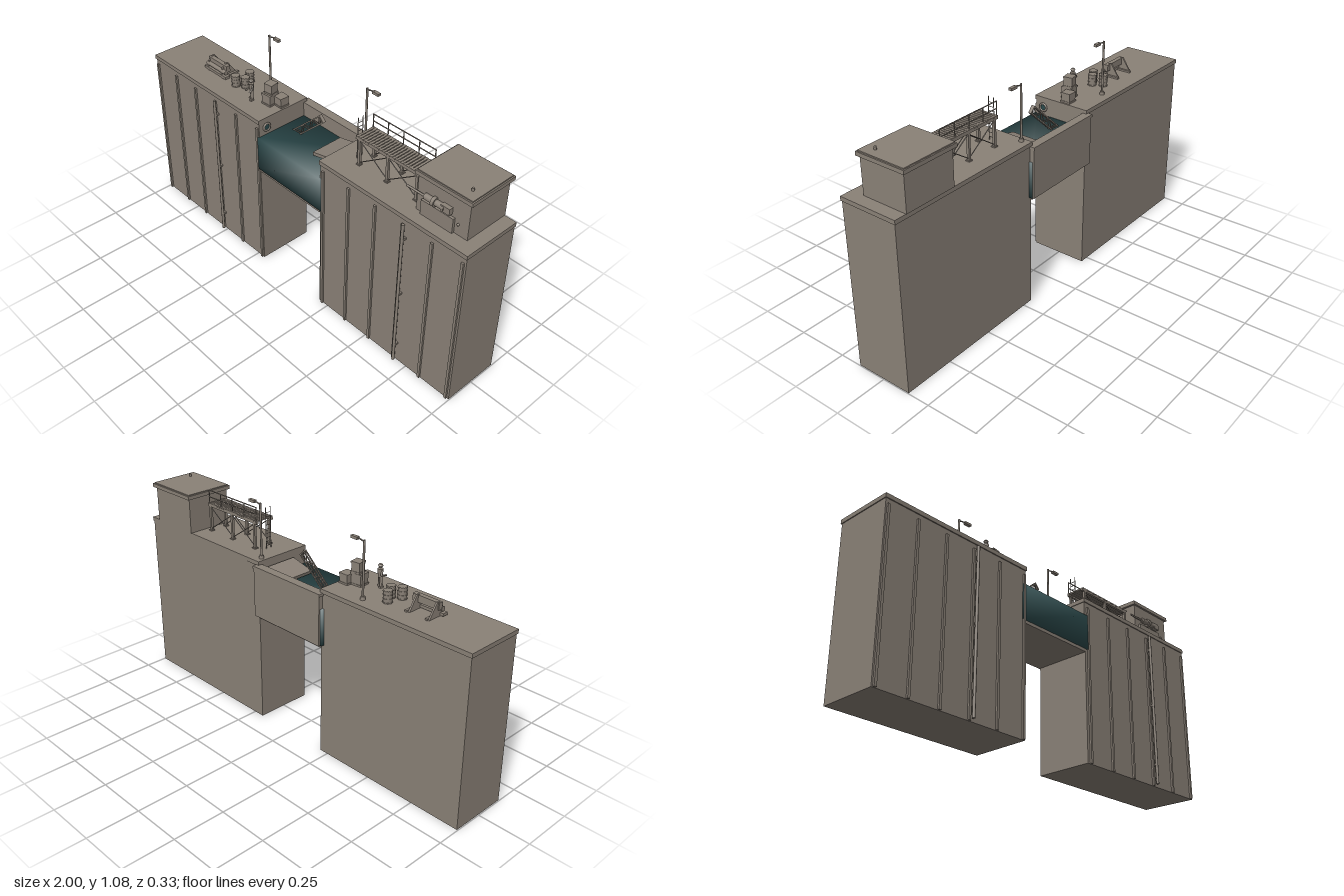
import * as THREE from 'three';

const stone = new THREE.MeshStandardMaterial({ color: 0x8a8177 });
stone.name = 'weathered concrete';
const water = new THREE.MeshStandardMaterial({ color: 0x2c4a4c });
water.name = 'deep teal water';

function add(parent, name, geo, x, y, z, mat = stone) {
  const m = new THREE.Mesh(geo, mat);
  m.name = name;
  m.position.set(x, y, z);
  parent.add(m);
  return m;
}
// box from its min and max corners
function box(parent, name, x0, x1, y0, y1, z0, z1, mat) {
  return add(parent, name, new THREE.BoxGeometry(x1 - x0, y1 - y0, z1 - z0),
    (x0 + x1) / 2, (y0 + y1) / 2, (z0 + z1) / 2, mat);
}
// round bar between two points
function bar(parent, name, a, b, r, sides = 6) {
  const p = new THREE.Vector3(...a), q = new THREE.Vector3(...b), d = q.clone().sub(p);
  const m = add(parent, name, new THREE.CylinderGeometry(r, r, d.length(), sides), 0, 0, 0);
  m.position.copy(p).add(q).multiplyScalar(0.5);
  m.quaternion.setFromUnitVectors(new THREE.Vector3(0, 1, 0), d.normalize());
  return m;
}
function group(parent, name, x = 0, y = 0, z = 0) {
  const g = new THREE.Group();
  g.name = name;
  g.position.set(x, y, z);
  parent.add(g);
  return g;
}
const DECK = 0.815;

function pier(root, name, x0, x1, ribStart, pipeX) {
  const g = group(root, name);
  box(g, 'pierBody', x0 + 0.004, x1 - 0.003, 0, 0.8, -0.14, 0.142);
  box(g, 'pierCap', x0, x1, 0.795, DECK, -0.144, 0.147);
  for (let i = 0; i < 6; i++) {
    const x = ribStart + i * 0.153;
    box(g, 'fenderRib', x - 0.006, x + 0.006, 0.002, 0.77, 0.14, 0.151);
  }
  bar(g, 'drainPipe', [pipeX, 0.01, 0.159], [pipeX, 0.782, 0.159], 0.007, 8);
  for (const y of [0.1, 0.4, 0.7]) box(g, 'pipeClamp', pipeX - 0.008, pipeX + 0.008, y, y + 0.01, 0.14, 0.16);
}

function lamp(root, x, z) {
  const g = group(root, 'lampPost', x, DECK, z);
  add(g, 'lampBase', new THREE.CylinderGeometry(0.01, 0.012, 0.015, 8), 0, 0.0075, 0);
  bar(g, 'lampPole', [0, 0, 0], [0, 0.262, 0], 0.005, 8);
  bar(g, 'lampArm', [0, 0.255, 0], [0.042, 0.264, 0], 0.003);
  box(g, 'lampHead', 0.034, 0.07, 0.254, 0.266, -0.008, 0.008);
}

function walkway(root) {
  const g = group(root, 'raisedWalkway');
  const xs = [0.325, 0.485, 0.645], zs = [-0.048, 0.04];
  for (const z of zs) {
    box(g, 'deckBeam', 0.305, 0.655, 0.938, 0.954, z - 0.006, z + 0.006);
    for (const x of xs) {
      box(g, 'leg', x - 0.006, x + 0.006, DECK, 0.94, z - 0.006, z + 0.006);
      box(g, 'footPlate', x - 0.01, x + 0.01, DECK, DECK + 0.005, z - 0.01, z + 0.01);
    }
    for (let i = 0; i < 2; i++) {
      bar(g, 'crossBrace', [xs[i], 0.825, z], [xs[i + 1], 0.935, z], 0.0022);
      bar(g, 'crossBrace', [xs[i], 0.935, z], [xs[i + 1], 0.825, z], 0.0022);
    }
  }
  for (let i = 0; i < 24; i++) {
    const x = 0.308 + i * 0.0147;
    box(g, 'deckSlat', x, x + 0.011, 0.948, 0.955, -0.055, 0.047);
  }
  for (let i = 0; i < 5; i++) bar(g, 'railPost', [0.31 + i * 0.085, 0.95, -0.05], [0.31 + i * 0.085, 1.018, -0.05], 0.0025);
  for (const y of [0.985, 1.018]) bar(g, 'handRail', [0.308, y, -0.05], [0.653, y, -0.05], 0.0025);
  // access ladder at the open end
  for (const z of [-0.014, 0.014]) bar(g, 'ladderRail', [0.285, DECK, z], [0.285, 1.015, z], 0.002);
  for (let i = 0; i < 9; i++) bar(g, 'ladderRung', [0.285, 0.83 + i * 0.02, -0.014], [0.285, 0.83 + i * 0.02, 0.014], 0.0015);
}

function cabin(root) {
  const g = group(root, 'controlCabin');
  box(g, 'cabinWalls', 0.682, 0.942, DECK, 0.99, -0.147, 0.08);
  box(g, 'cabinRoof', 0.67, 0.954, 0.987, 1.005, -0.16, 0.09);
  box(g, 'roofTop', 0.676, 0.948, 1.005, 1.01, -0.154, 0.084);
  add(g, 'roofVent', new THREE.CylinderGeometry(0.006, 0.006, 0.014, 8), 0.905, 1.016, 0.033);
  box(g, 'motorCabinet', 0.712, 0.875, DECK, 0.885, 0.08, 0.092);
  add(g, 'cabinetKnob', new THREE.SphereGeometry(0.006, 8, 6), 0.895, 0.868, 0.085);
  // winch motor with its drive shaft
  bar(g, 'driveShaft', [0.635, 0.91, 0.09], [0.74, 0.91, 0.09], 0.005, 8);
  bar(g, 'motorBody', [0.73, 0.912, 0.09], [0.83, 0.912, 0.09], 0.014, 12);
  bar(g, 'motorFlange', [0.77, 0.912, 0.09], [0.785, 0.912, 0.09], 0.021, 12);
  box(g, 'gearBox', 0.815, 0.86, 0.897, 0.927, 0.078, 0.1);
}

function person(root) {
  const g = group(root, 'worker', -0.366, DECK, 0.05);
  for (const s of [-1, 1]) {
    bar(g, 'leg', [s * 0.009, 0, s * 0.006], [s * 0.005, 0.05, 0], 0.006);
    box(g, 'boot', s * 0.009 - 0.006, s * 0.009 + 0.006, 0, 0.008, s * 0.006 - 0.006, s * 0.006 + 0.012);
    bar(g, 'upperArm', [s * 0.011, 0.078, 0], [s * 0.016, 0.06, s * 0.012], 0.0045);
    bar(g, 'forearm', [s * 0.016, 0.06, s * 0.012], [s * 0.012, 0.05, 0.025], 0.004);
  }
  add(g, 'torso', new THREE.CylinderGeometry(0.013, 0.01, 0.038, 8), 0, 0.066, 0);
  add(g, 'head', new THREE.SphereGeometry(0.009, 10, 8), 0, 0.096, 0);
  add(g, 'helmet', new THREE.CylinderGeometry(0.007, 0.012, 0.007, 10), 0, 0.102, 0);
}

function cargo(root) {
  // bench-like pump unit with two slanted end plates
  const b = group(root, 'pumpUnit', -0.655, DECK, 0);
  const side = new THREE.Shape([[-0.05, 0], [0.038, 0], [0.03, 0.045], [0.008, 0.065], [-0.006, 0.065]].map(p => new THREE.Vector2(...p)));
  const plate = new THREE.ExtrudeGeometry(side, { depth: 0.008, bevelEnabled: false });
  for (const x of [-0.055, 0.047]) add(b, 'endPlate', plate, x, 0, 0).rotation.y = -Math.PI / 2;
  for (const x of [-0.05, 0.055]) box(b, 'skid', x - 0.006, x + 0.006, 0, 0.008, -0.055, 0.04);
  box(b, 'frontRail', -0.08, 0.08, 0.003, 0.016, 0.014, 0.04);
  box(b, 'housing', -0.068, 0.068, 0.03, 0.062, 0.0, 0.022);
  bar(b, 'roller', [-0.07, 0.03, 0.026], [0.07, 0.03, 0.026], 0.011, 12);
  // barrels
  for (const [x, z] of [[-0.49, -0.04], [-0.508, 0.03], [-0.466, 0.006]]) {
    const g = group(root, 'barrel', x, DECK, z);
    add(g, 'drum', new THREE.CylinderGeometry(0.02, 0.02, 0.056, 8), 0, 0.028, 0);
    for (const y of [0.003, 0.02, 0.037, 0.053]) add(g, 'hoop', new THREE.CylinderGeometry(0.022, 0.022, 0.004, 8), 0, y, 0);
  }
  // crates
  for (const [x, y, z, w, h, r] of [[-0.285, 0, 0.01, 0.056, 0.055, 0.08], [-0.238, 0, -0.018, 0.05, 0.048, 0],
    [-0.28, 0.055, 0.005, 0.046, 0.052, 0.15]]) {
    const g = group(root, 'crate', x, DECK + y, z);
    g.rotation.y = r;
    add(g, 'crateBody', new THREE.BoxGeometry(w - 0.004, h, w - 0.004), 0, h / 2, 0);
    for (const t of [0.004, h - 0.004]) add(g, 'crateBand', new THREE.BoxGeometry(w, 0.008, w), 0, t, 0);
  }
}

function channel(root) {
  const g = group(root, 'waterChannel');
  // soft-shaded water block: normals fan out from its centre
  const geo = new THREE.BoxGeometry(0.434, 0.173, 0.305);
  const p = geo.attributes.position, n = geo.attributes.normal, k = 1 / Math.sqrt(3);
  for (let i = 0; i < p.count; i++) n.setXYZ(i, Math.sign(p.getX(i)) * k, Math.sign(p.getY(i)) * k, Math.sign(p.getZ(i)) * k);
  add(g, 'water', geo, -0.007, 0.6375, -0.0025, water);
  box(g, 'channelFloor', -0.21, 0.196, 0.535, 0.55, -0.145, 0.145);
  box(g, 'backWall', -0.215, 0.204, 0.55, 0.79, -0.163, -0.126);
  box(g, 'backWallCap', -0.22, 0.207, 0.785, 0.798, -0.166, -0.124);
  // outlet pipe on the pier end
  const ring = add(g, 'outletRim', new THREE.TorusGeometry(0.018, 0.005, 8, 16), -0.203, 0.765, 0.1);
  ring.rotation.y = Math.PI / 2;
  add(g, 'outletWater', new THREE.CircleGeometry(0.017, 16), -0.202, 0.765, 0.1, water).rotation.y = Math.PI / 2;
  // sloping slab half sunk in the water
  add(g, 'fallenSlab', new THREE.BoxGeometry(0.125, 0.016, 0.165), 0.127, 0.757, -0.018).rotation.z = 0.23;
  // leaning lattice boom
  const t = group(g, 'latticeBoom', -0.165, 0.69, -0.018);
  t.rotation.z = 0.74;
  const L = 0.27, w = 0.016, d = 0.006;
  for (const z of [-d, d]) {
    for (const y of [-w, w]) box(t, 'boomChord', 0, L, y - 0.003, y + 0.003, z - 0.002, z + 0.002);
    for (let i = 0; i < 7; i++) {
      const s = i % 2 ? 1 : -1, x = i * L / 7;
      bar(t, 'boomLacing', [x, s * w, z], [x + L / 7, -s * w, z], 0.0025);
    }
  }
  for (const x of [0, L]) box(t, 'boomEnd', x - 0.003, x + 0.003, -w - 0.003, w + 0.003, -d - 0.002, d + 0.002);
}

export function createModel() {
  const root = new THREE.Group();
  root.name = 'lockGate';
  pier(root, 'rightPier', -1, -0.204, -0.983, -0.512);
  pier(root, 'leftPier', 0.192, 1, 0.217, 0.689);
  channel(root);
  lamp(root, -0.402, -0.094);
  lamp(root, 0.216, -0.104);
  walkway(root);
  cabin(root);
  person(root);
  cargo(root);
  return root;
}
